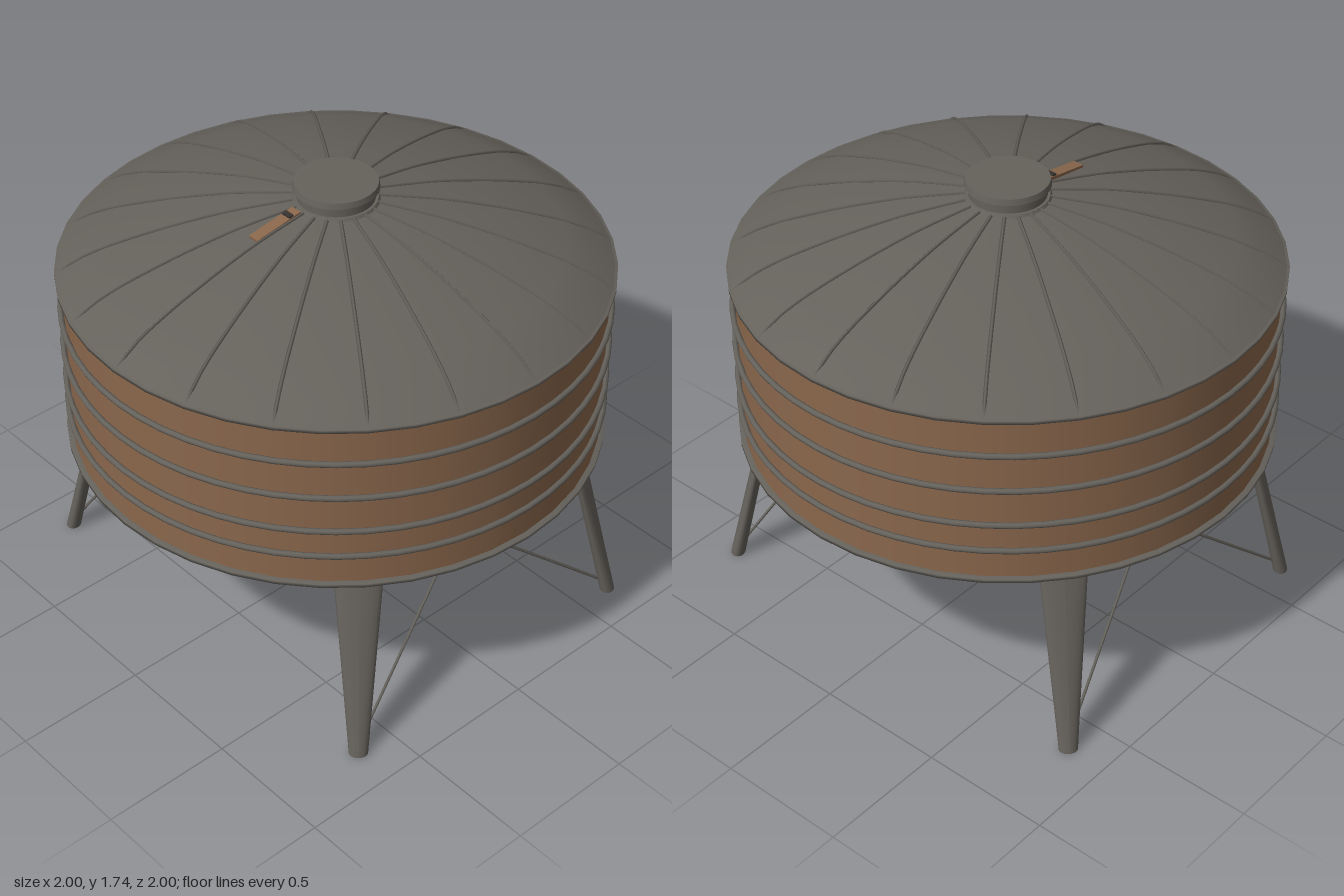
import * as THREE from 'three';

const grey = new THREE.MeshStandardMaterial({ color: 0x65615b });
grey.name = 'weathered grey metal';
const brown = new THREE.MeshStandardMaterial({ color: 0x8a674c, side: THREE.DoubleSide });
brown.name = 'rusty brown';
const dark = new THREE.MeshStandardMaterial({ color: 0x35322f });
dark.name = 'dark metal';

const v2 = (p) => new THREE.Vector2(p[0], p[1]);
const v3 = (x, y, z) => new THREE.Vector3(x, y, z);

// Roof and bowl profiles as [radius, height]
const ROOF = [[1, 1.42], [0.91, 1.475], [0.81, 1.52], [0.6, 1.585], [0.38, 1.637], [0.14, 1.672]];
const BOWL = [[0.1, 0.405], [0.24, 0.42], [0.5, 0.5], [0.68, 0.58], [0.8, 0.637], [0.99, 0.75]];

export function createModel() {
  const model = new THREE.Group();
  model.name = 'storageTank';

  const add = (name, geometry, material, parent = model) => {
    const mesh = new THREE.Mesh(geometry, material);
    mesh.name = name;
    parent.add(mesh);
    return mesh;
  };
  const group = (name) => {
    const g = new THREE.Group();
    g.name = name;
    model.add(g);
    return g;
  };
  const disc = (name, rTop, rBottom, y0, y1, material) => {
    const m = add(name, new THREE.CylinderGeometry(rTop, rBottom, y1 - y0, 32), material);
    m.position.y = (y0 + y1) / 2;
  };
  const rod = (name, a, b, r, parent) =>
    add(name, new THREE.TubeGeometry(new THREE.LineCurve3(a, b), 1, r, 6), grey, parent);

  // Shell
  const wall = add('tankWall', new THREE.CylinderGeometry(0.98, 0.98, 0.67, 40, 1, true), brown);
  wall.position.y = 1.085;
  add('roof', new THREE.LatheGeometry(ROOF.map(v2), 40), grey);
  add('bowl', new THREE.LatheGeometry([[0, 0.4], ...BOWL].map(v2), 40), brown);

  // Flat rims closing the roof edge and the bowl edge
  for (const [name, y] of [['roofRim', 1.42], ['bowlRim', 0.75]]) {
    const profile = [[0.96, -0.008], [1, -0.008], [1, 0.006], [0.96, 0.006]];
    add(name, new THREE.LatheGeometry(profile.map(([r, h]) => v2([r, y + h])), 40), grey);
  }

  // Hoops around the wall
  const hoops = group('wallHoops');
  for (const y of [0.875, 0.985, 1.13, 1.275]) {
    const hoop = add('hoop', new THREE.TorusGeometry(0.988, 0.011, 8, 60), grey, hoops);
    hoop.rotation.x = Math.PI / 2;
    hoop.position.y = y;
  }

  // Radial seams on the roof and the bowl
  const ribGeometry = (profile, lift) => new THREE.TubeGeometry(
    new THREE.CatmullRomCurve3(profile.map(([r, y]) => v3(Math.min(r, 0.985), y + lift, 0))), 16, 0.007, 4);
  const roofRib = ribGeometry(ROOF, 0.002);
  const bowlRib = ribGeometry(BOWL, -0.001);
  const ribs = group('radialSeams');
  for (let i = 0; i < 20; i++) {
    const angle = (i * Math.PI) / 10;
    add('roofSeam', roofRib, grey, ribs).rotation.y = angle;
    add('bowlSeam', bowlRib, grey, ribs).rotation.y = angle;
  }

  // Top cap
  disc('capCollar', 0.15, 0.165, 1.655, 1.68, grey);
  disc('capNeck', 0.14, 0.14, 1.66, 1.725, grey);
  disc('capLid', 0.15, 0.155, 1.72, 1.742, grey);

  // Bottom plate and outlet
  disc('bottomPlate', 0.23, 0.21, 0.415, 0.44, brown);
  disc('bottomPlateFace', 0.21, 0.1, 0.4, 0.415, brown);
  disc('outletFlange', 0.05, 0.05, 0.388, 0.405, grey);
  disc('outletPipe', 0.028, 0.024, 0.365, 0.392, grey);

  // Hatch on the roof front
  const hatch = group('roofHatch');
  hatch.position.set(-0.025, 1.656, 0.26);
  hatch.rotation.x = 0.16;
  add('hatchPlate', new THREE.BoxGeometry(0.045, 0.018, 0.2), brown, hatch);
  add('hatchHinge', new THREE.BoxGeometry(0.04, 0.03, 0.02), dark, hatch).position.z = -0.06;

  // Legs: wide flattened top tapering to a round foot
  const legGeometry = (sx, sz) => {
    const g = new THREE.CylinderGeometry(1, 1, 1, 20, 4);
    const p = g.attributes.position;
    const foot = v3(0.84 * sx, 0.005, 0.65 * sz);
    const top = v3(0.715 * sx, 0.7, 0.54 * sz);
    const out = v3(0.79 * sx, 0, 0.61 * sz);
    const side = v3(out.z, 0, -out.x);
    const v = new THREE.Vector3();
    for (let i = 0; i < p.count; i++) {
      const t = p.getY(i) + 0.5;
      v.lerpVectors(foot, top, t)
        .addScaledVector(side, p.getX(i) * THREE.MathUtils.lerp(0.035, 0.087, t))
        .addScaledVector(out, p.getZ(i) * THREE.MathUtils.lerp(0.028, 0.022, t));
      p.setXYZ(i, v.x, v.y, v.z);
    }
    g.computeVertexNormals();
    return g;
  };
  const legs = group('legs');
  const braces = group('braces');
  for (const sx of [-1, 1]) {
    for (const sz of [-1, 1]) {
      add('leg', legGeometry(sx, sz), grey, legs);
      // Diagonal from the foot up to the bowl
      rod('diagonalBrace', v3(0.83 * sx, 0.05, 0.63 * sz), v3(0.66 * sx, 0.575, 0), 0.006, braces);
      // Strut from the ring to the leg
      rod('ringStrut', v3(0.63 * sx, 0.63, 0.5 * sz), v3(0.73 * sx, 0.63, 0.55 * sz), 0.009, braces);
    }
  }

  // Ring under the bowl that ties the legs together
  const ring = add('supportRing', new THREE.TorusGeometry(0.812, 0.01, 8, 48), grey, braces);
  ring.rotation.x = Math.PI / 2;
  ring.position.y = 0.628;

  return model;
}
